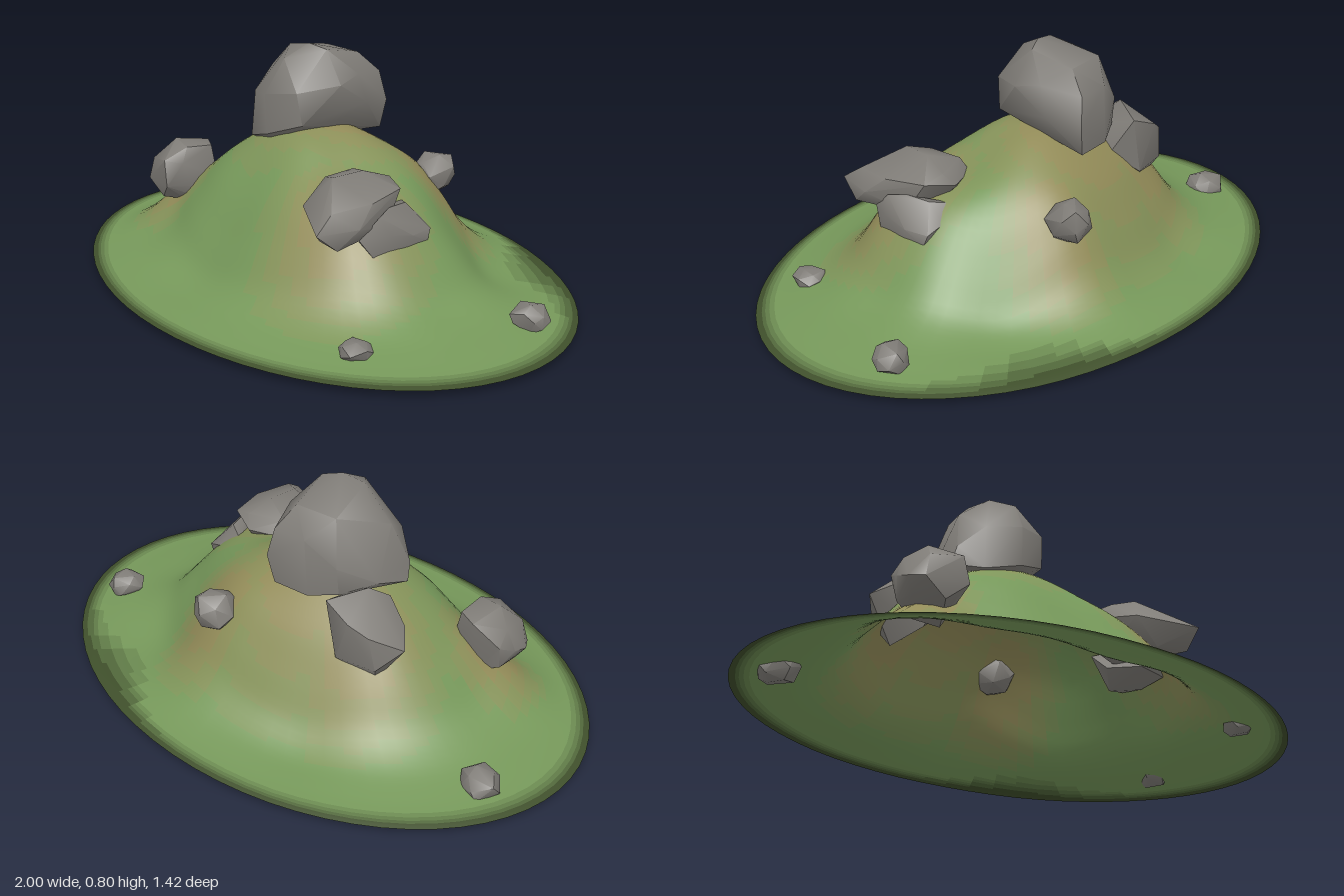
import * as THREE from 'three';
import { ConvexGeometry } from 'three/addons/geometries/ConvexGeometry.js';
import { toCreasedNormals } from 'three/addons/utils/BufferGeometryUtils.js';

const DEPTH = 0.71; // z radius of the oval base; x radius is 1
const SEGMENTS = 64;
const RINGS = 40;
const TONES = 5; // steps from grass to earth, and from light to dark turf

// Hill cross-section: distance from centre, height
const profile = new THREE.SplineCurve([
  [0, 0.54], [0.14, 0.525], [0.28, 0.465], [0.42, 0.37], [0.54, 0.245],
  [0.64, 0.135], [0.75, 0.075], [0.87, 0.047], [0.96, 0.035], [1, 0.026],
].map(([r, y]) => new THREE.Vector2(r, y)));

// Spurs and hollows: x, z, height, width
const bumps = [
  [-0.59, 0.22, 0.075, 0.14], [0.21, 0.04, -0.07, 0.16], [0.13, -0.4, 0.055, 0.15],
  [-0.4, -0.18, 0.03, 0.15], [-0.05, 0.34, -0.06, 0.18], [0.42, -0.3, -0.05, 0.17],
  [-0.3, -0.42, -0.02, 0.14], [0.42, 0.2, 0.03, 0.13], [0.62, 0, -0.025, 0.12],
];

// Bare earth patches: x, z, radius
const earthPatches = [
  [-0.1, -0.14, 0.42], [0.38, 0.17, 0.32], [-0.55, 0.23, 0.21],
  [0.15, -0.34, 0.24], [-0.36, -0.18, 0.3],
];

function hillHeight(x, z, base) {
  return bumps.reduce((y, [bx, bz, h, w]) =>
    y + h * Math.exp(-((x - bx) ** 2 + (z - bz) ** 2) / (w * w)), base);
}

function earthAmount(x, z) {
  const amount = Math.max(...earthPatches.map(([px, pz, r]) => 1.5 * (1 - Math.hypot(x - px, z - pz) / r)));
  return THREE.MathUtils.clamp(amount, 0, 1);
}

// Turf darkens towards the rim, reaching further in at the back left
function darkAmount(x, z) {
  const reach = 0.07 + 0.18 * Math.exp(-((x - 0.42) ** 2) / 0.04) * (z < 0 ? 1 : 0);
  return THREE.MathUtils.smoothstep(Math.hypot(x, z / DEPTH), 1 - reach, 1);
}

// Open shell, its faces sorted by tone
function createHill() {
  const positions = [];
  for (let i = 0; i <= RINGS; i++) {
    const p = profile.getPoint(i / RINGS);
    for (let j = 0; j < SEGMENTS; j++) {
      const a = (j / SEGMENTS) * Math.PI * 2;
      const x = p.x * Math.cos(a), z = p.x * DEPTH * Math.sin(a);
      positions.push(x, hillHeight(x, z, p.y), z);
    }
  }
  const earth = Array.from({ length: TONES }, () => []);
  const turf = Array.from({ length: TONES }, () => []);
  for (let i = 0; i < RINGS; i++) {
    for (let j = 0; j < SEGMENTS; j++) {
      const k = (j + 1) % SEGMENTS;
      const a = i * SEGMENTS + j, b = i * SEGMENTS + k;
      const c = a + SEGMENTS, d = b + SEGMENTS;
      const x = positions[c * 3], z = positions[c * 3 + 2];
      const earthTone = Math.round(earthAmount(x, z) * (TONES - 1));
      const faces = earthTone > 0 ? earth[earthTone] : turf[Math.round(darkAmount(x, z) * (TONES - 1))];
      if (i > 0) faces.push(a, b, c);
      faces.push(b, d, c);
    }
  }
  const whole = new THREE.BufferGeometry();
  whole.setAttribute('position', new THREE.Float32BufferAttribute(positions, 3));
  whole.setIndex([...earth, ...turf].flat());
  whole.computeVertexNormals();
  // The centre ring is one point, so it shares one normal
  for (let j = 0; j < SEGMENTS; j++) whole.attributes.normal.setXYZ(j, 0, 1, 0);

  const hill = new THREE.Group();
  hill.name = 'hill';
  const addTones = (name, tones, endColor) => tones.forEach((index, tone) => {
    if (index.length === 0) return;
    const geometry = new THREE.BufferGeometry();
    geometry.setAttribute('position', whole.attributes.position);
    geometry.setAttribute('normal', whole.attributes.normal);
    geometry.setIndex(index);
    const color = new THREE.Color(0x76985a).lerp(new THREE.Color(endColor), tone / (TONES - 1));
    const mesh = new THREE.Mesh(geometry, new THREE.MeshStandardMaterial({ color, side: THREE.DoubleSide }));
    mesh.name = `${name}${tone}`;
    hill.add(mesh);
  });
  addTones('earth', earth, 0x928b58);
  addTones('turf', turf, 0x3f4f2b);
  return hill;
}

const stone = new THREE.MeshStandardMaterial({ color: 0x7f7c77 });

// Faceted rock from its corner points, with shallow edges softened
function createRock(name, corners) {
  const hull = new ConvexGeometry(corners.map((c) => new THREE.Vector3(...c)));
  const mesh = new THREE.Mesh(toCreasedNormals(hull, 0.8), stone);
  mesh.name = name;
  return mesh;
}

// Irregular corners spread over a ball, then fitted to a centre and size
function rockCorners(centre, size, seed, count = 18) {
  let state = seed;
  const random = () => (state = (state * 16807) % 2147483647) / 2147483647;
  for (let i = 0; i < 5; i++) random();
  const points = [];
  for (let i = 0; i < count; i++) {
    const y = 1 - (2 * (i + 0.5)) / count;
    const a = i * 2.4 + random() * 0.7;
    const r = Math.sqrt(1 - y * y), s = 0.9 + random() * 0.2;
    points.push(new THREE.Vector3(Math.cos(a) * r * s, y * s, Math.sin(a) * r * s));
  }
  const box = new THREE.Box3().setFromPoints(points);
  const mid = box.getCenter(new THREE.Vector3()), span = box.getSize(new THREE.Vector3());
  return points.map((p) => p.sub(mid).divide(span).toArray().map((v, i) => centre[i] + v * size[i]));
}

export function createModel() {
  const model = new THREE.Group();
  model.name = 'rockyHill';
  model.add(createHill());

  model.add(createRock('summitBoulder', [
    [-0.08, 0.8, 0], [-0.16, 0.785, 0.02], [-0.02, 0.785, -0.03], [-0.05, 0.75, -0.18],
    [-0.22, 0.75, -0.02], [-0.1, 0.755, 0.085], [-0.02, 0.68, -0.25], [0, 0.58, -0.267],
    [0.06, 0.68, -0.03], [0.035, 0.7, -0.12], [0.045, 0.6, -0.15], [0, 0.66, 0.105],
    [-0.12, 0.64, 0.15], [-0.24, 0.62, 0.11], [-0.28, 0.69, 0.01], [-0.32, 0.54, 0.06],
    [-0.31, 0.52, -0.08], [-0.2, 0.75, -0.16], [-0.24, 0.6, -0.2], [-0.24, 0.5, -0.19],
    [-0.14, 0.68, -0.24], [-0.15, 0.48, -0.24], [-0.02, 0.48, -0.255], [0.01, 0.55, 0.09],
    [-0.12, 0.5, 0.145], [-0.25, 0.46, 0.12], [-0.33, 0.48, 0.04], [0.02, 0.55, -0.05],
    [-0.14, 0.46, 0.1],
  ]));
  model.add(createRock('leftSlab', [
    [0.21, 0.41, 0.03], [0.215, 0.4, 0.17], [0.235, 0.46, 0.05], [0.25, 0.46, 0.17],
    [0.34, 0.49, 0.09], [0.33, 0.485, 0.2], [0.36, 0.46, 0], [0.33, 0.42, -0.03],
    [0.43, 0.44, 0.01], [0.47, 0.43, 0.15], [0.5, 0.37, 0.22], [0.47, 0.37, 0.36],
    [0.48, 0.31, 0.29], [0.45, 0.42, 0.29], [0.36, 0.3, 0.27], [0.36, 0.31, 0.05],
    [0.45, 0.33, 0.08], [0.24, 0.35, 0.05], [0.27, 0.39, 0.27], [0.26, 0.34, 0.2],
  ]));
  model.add(createRock('leftLowerSlab', [
    [0.43, 0.33, -0.07], [0.35, 0.37, -0.05], [0.49, 0.31, -0.065], [0.51, 0.31, 0.02],
    [0.43, 0.39, -0.01], [0.51, 0.33, 0.11], [0.47, 0.32, 0.2], [0.45, 0.395, 0.07],
    [0.48, 0.385, 0.13], [0.43, 0.26, -0.05], [0.495, 0.27, -0.05], [0.5, 0.255, 0.04],
    [0.49, 0.26, 0.16], [0.4, 0.28, 0.15], [0.35, 0.3, 0.03],
  ]));
  model.add(createRock('backRightBoulder', [
    [-0.33, 0.55, -0.15], [-0.26, 0.53, -0.27], [-0.36, 0.49, -0.28], [-0.42, 0.45, -0.25],
    [-0.5, 0.4, -0.17], [-0.44, 0.43, -0.1], [-0.36, 0.5, -0.08], [-0.44, 0.33, -0.24],
    [-0.4, 0.25, -0.19], [-0.3, 0.33, -0.27], [-0.22, 0.4, -0.2], [-0.34, 0.3, -0.09],
    [-0.24, 0.48, -0.1],
  ]));
  model.add(createRock('frontRightBoulder', [
    [-0.62, 0.24, 0.32], [-0.6, 0.32, 0.31], [-0.49, 0.34, 0.33], [-0.47, 0.25, 0.335],
    [-0.54, 0.19, 0.31], [-0.65, 0.27, 0.21], [-0.65, 0.25, 0.27], [-0.62, 0.345, 0.2],
    [-0.56, 0.39, 0.24], [-0.47, 0.38, 0.25], [-0.45, 0.33, 0.28], [-0.45, 0.24, 0.24],
    [-0.63, 0.3, 0.15], [-0.54, 0.37, 0.12], [-0.47, 0.37, 0.15], [-0.45, 0.26, 0.14],
    [-0.55, 0.18, 0.15], [-0.62, 0.21, 0.17], [-0.5, 0.175, 0.24], [-0.62, 0.205, 0.25],
    [-0.46, 0.17, 0.17],
  ]));

  // Name, centre, size, seed
  [
    ['backRock', [0.15, 0.34, -0.36], [0.14, 0.14, 0.15], 23],
    ['rightPebble', [-0.82, 0.056, -0.165], [0.14, 0.11, 0.13], 37],
    ['backLeftPebble', [0.79, 0.08, -0.22], [0.12, 0.09, 0.12], 41],
    ['frontLeftPebble', [0.65, 0.065, 0.345], [0.1, 0.065, 0.11], 71],
  ].forEach(([name, centre, size, seed]) => model.add(createRock(name, rockCorners(centre, size, seed))));

  return model;
}
